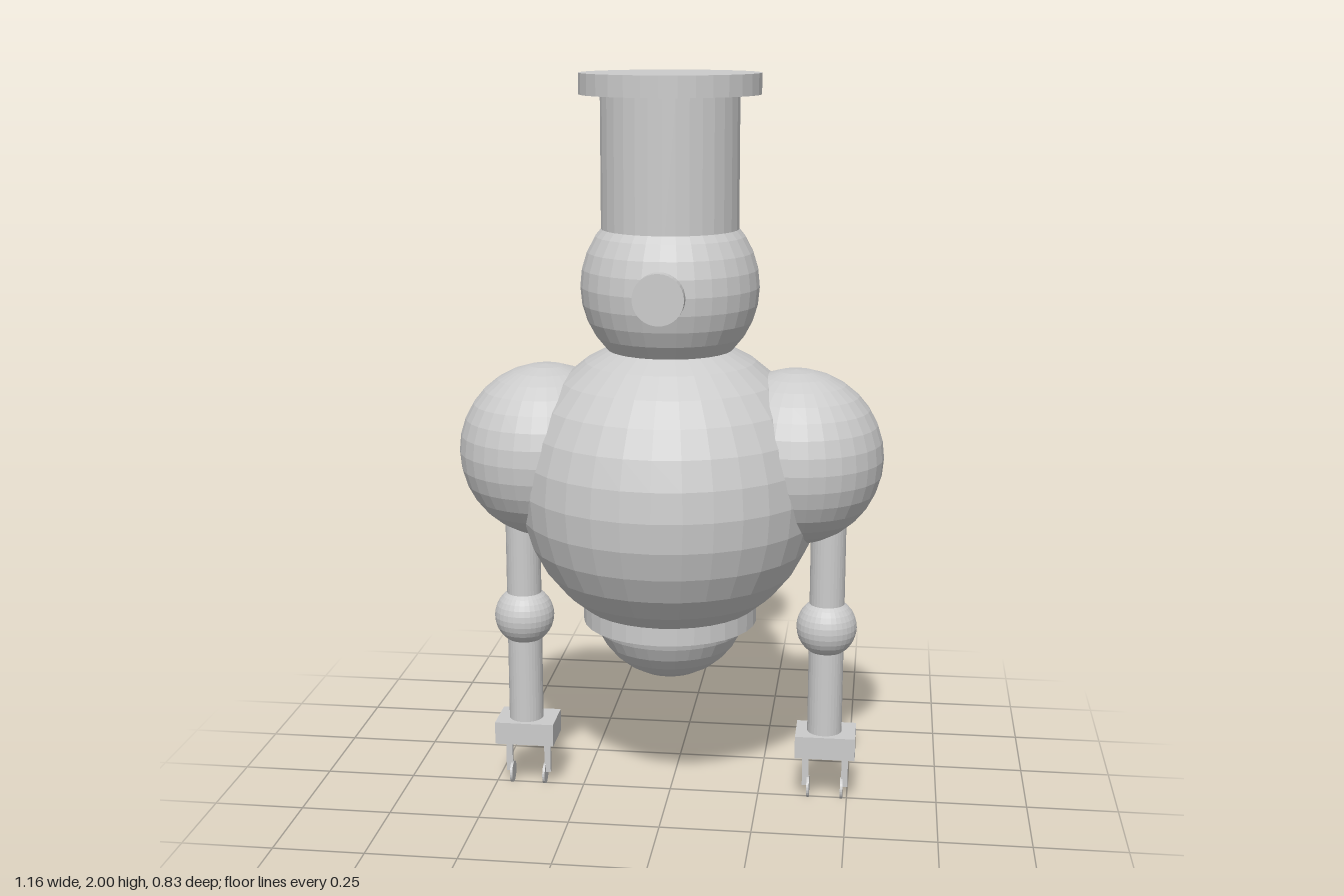
import * as THREE from 'three';

export function createModel() {
  const model = new THREE.Group();
  model.name = 'robot';
  const material = new THREE.MeshStandardMaterial({ color: 0xcccccc, flatShading: true });

  const add = (parent, name, geometry, x, y, z) => {
    const mesh = new THREE.Mesh(geometry, material);
    mesh.name = name;
    mesh.position.set(x, y, z);
    parent.add(mesh);
    return mesh;
  };
  const ball = (parent, name, r, x, y) =>
    add(parent, name, new THREE.SphereGeometry(r, 32, 16), x, y, 0);
  // Upright cylinder between two heights
  const post = (parent, name, r, bottom, top, x = 0) =>
    add(parent, name, new THREE.CylinderGeometry(r, r, top - bottom, 32), x, (bottom + top) / 2, 0);

  // Torso, belt ring and rounded base
  ball(model, 'body', 0.413, 0, 0.9);
  post(model, 'waistRing', 0.239, 0.515, 0.565);
  ball(model, 'base', 0.217, 0, 0.572);

  // Head with a single round eye
  ball(model, 'head', 0.239, 0, 1.445);
  const eye = add(model, 'eye', new THREE.CylinderGeometry(0.067, 0.067, 0.06, 32), 0, 1.445, 0.229);
  eye.rotation.x = Math.PI / 2;

  // Tall hat: column and flat cap
  post(model, 'hatColumn', 0.183, 1.5, 1.945);
  post(model, 'hatCap', 0.239, 1.945, 2);

  // Arms: both grippers are identical, their spacing is slightly uneven
  for (const [name, shoulderX, armX] of [['rightArm', -0.34, -0.412], ['leftArm', 0.34, 0.434]]) {
    const arm = new THREE.Group();
    arm.name = name;
    model.add(arm);
    ball(arm, 'shoulder', 0.238, shoulderX, 0.988);
    post(arm, 'armRod', 0.048, 0.18, 0.9, armX);
    ball(arm, 'elbow', 0.083, armX, 0.507);
    add(arm, 'wrist', new THREE.BoxGeometry(0.166, 0.064, 0.122), armX + 0.004, 0.17, 0);

    // Two thin fingers, each ending in a disc on its inner side
    for (const side of [-1, 1]) {
      const x = armX + 0.004 + side * 0.055;
      add(arm, 'finger', new THREE.BoxGeometry(0.018, 0.11, 0.012), x, 0.09, 0);
      const pad = add(arm, 'fingerPad', new THREE.CylinderGeometry(0.03, 0.03, 0.007, 24), x - side * 0.008, 0.03, 0);
      pad.rotation.z = Math.PI / 2;
    }
  }
  return model;
}
